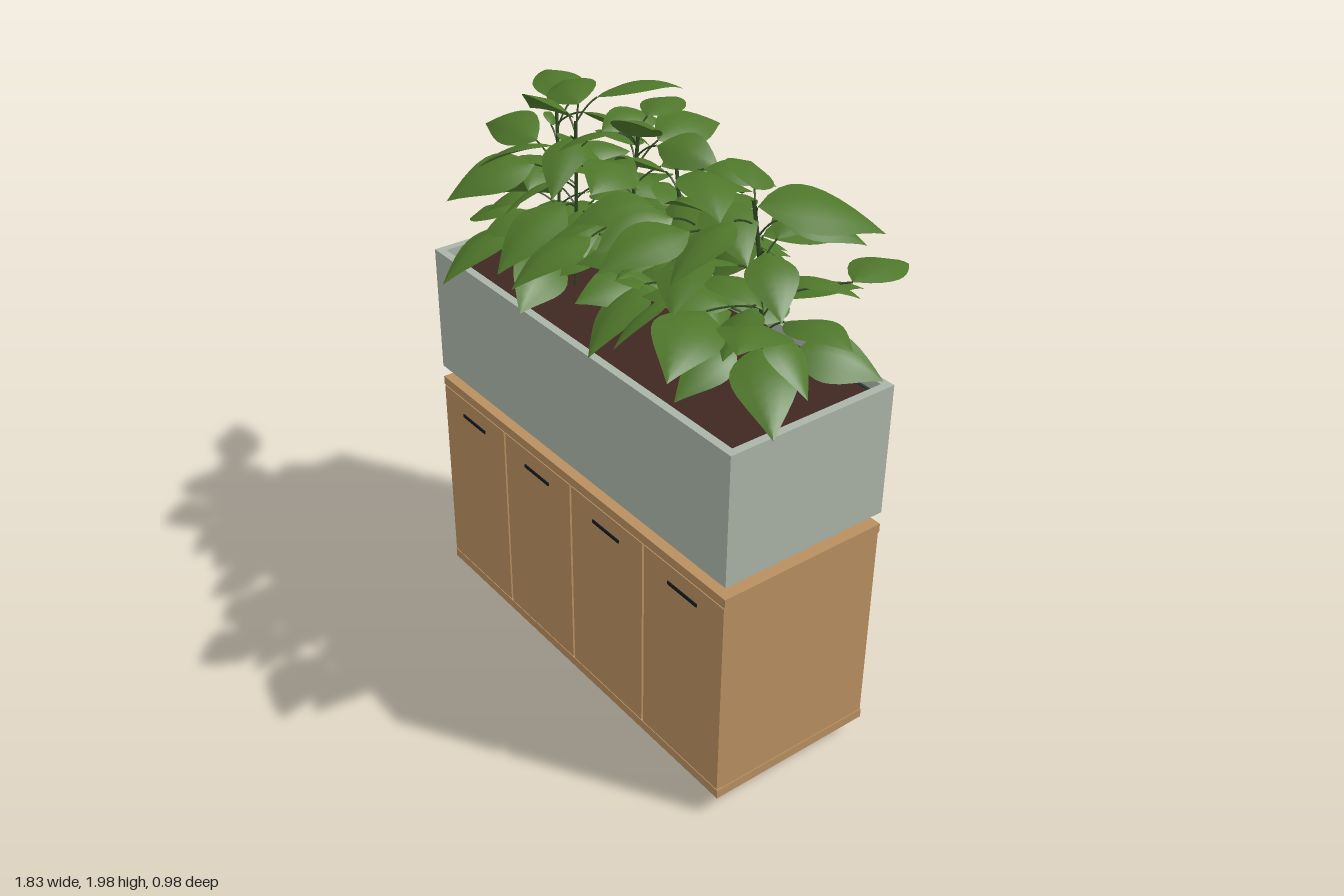
import * as THREE from 'three';
import { mergeGeometries } from 'three/addons/utils/BufferGeometryUtils.js';

const mat = (name, color, side = THREE.FrontSide) => {
  const m = new THREE.MeshStandardMaterial({ color, side });
  m.name = name;
  return m;
};
const V = (x, y, z) => new THREE.Vector3(x, y, z);

// small seeded generator
let seed = 11;
const rand = (a = 0, b = 1) => {
  seed = (seed * 16807) % 2147483647;
  return a + (b - a) * (seed / 2147483647);
};

// Domed, pointed leaf along an arched rib from base to tip
function leafGeometry(base, tip, ratio, roll) {
  const dir = tip.clone().sub(base), len = dir.length();
  const mid = base.clone().lerp(tip, 0.5);
  mid.y += len * 0.28;
  const rib = new THREE.QuadraticBezierCurve3(base, mid, tip);
  const across = V(dir.z, 0, -dir.x).normalize().applyAxisAngle(dir.clone().normalize(), roll);
  const N = 10, M = 4, pos = [], idx = [];
  for (let i = 0; i <= N; i++) {
    const t = i / N, p = rib.getPoint(t);
    const half = len * ratio * 0.5 * Math.sin(Math.PI * Math.pow(t, 0.8));
    const normal = rib.getTangent(t).cross(across).normalize();
    for (let j = 0; j <= M; j++) {
      const u = (j / M) * 2 - 1;
      const q = p.clone().addScaledVector(across, u * half).addScaledVector(normal, -Math.abs(u) * half * 0.25);
      pos.push(q.x, q.y, q.z);
      if (i < N && j < M) {
        const a = i * (M + 1) + j, b = a + M + 1;
        idx.push(a, b, a + 1, b, b + 1, a + 1);
      }
    }
  }
  const g = new THREE.BufferGeometry();
  g.setAttribute('position', new THREE.Float32BufferAttribute(pos, 3));
  g.setIndex(idx);
  g.computeVertexNormals();
  return g;
}

// Plants: stem foot x, z, stem top x, y, z and number of inner leaves
const PLANTS = [
  [-0.48, -0.06, -0.53, 1.80, -0.1, 6],
  [-0.27, 0.02, -0.25, 1.86, 0.02, 15],
  [-0.10, -0.06, -0.09, 1.88, -0.1, 15],
  [0.20, -0.04, 0.14, 1.82, -0.06, 15],
  [0.33, 0.06, 0.4, 1.86, 0.04, 15],
  [0.60, 0.0, 0.58, 1.91, 0.03, 16],
];

// Large outer leaves: base x, y, z and tip x, y, z
const OUTER = [
  [-0.65, 1.63, -0.1, -0.92, 1.61, -0.07], [-0.57, 1.77, -0.18, -0.84, 1.78, -0.26],
  [-0.59, 1.43, 0.06, -0.86, 1.31, 0.03], [-0.42, 1.52, -0.13, -0.34, 1.46, -0.44],
  [-0.13, 1.78, -0.2, -0.18, 1.75, -0.49], [0.1, 1.62, -0.2, 0.02, 1.56, -0.48],
  [0.74, 1.66, -0.2, 0.7, 1.62, -0.46], [0.65, 1.55, -0.04, 0.91, 1.57, -0.05],
  [0.7, 1.58, 0.06, 0.88, 1.68, 0.33], [0.6, 1.64, 0.2, 0.78, 1.6, 0.47],
  [0.55, 1.86, 0.22, 0.51, 1.8, 0.49], [-0.4, 1.5, 0.16, -0.38, 1.38, 0.44],
  [-0.36, 1.7, 0.1, -0.48, 1.6, 0.35], [-0.2, 1.62, 0.1, -0.17, 1.48, 0.37],
  [0.02, 1.62, 0.16, 0.0, 1.52, 0.43], [0.2, 1.52, 0.1, 0.28, 1.4, 0.36],
  [0.43, 1.96, 0.1, 0.67, 1.93, 0.22], [-0.08, 1.85, -0.05, 0.14, 1.96, 0.03],
  [-0.35, 1.86, -0.06, -0.6, 1.83, -0.16], [0.62, 1.91, 0.05, 0.78, 1.8, -0.27],
  [-0.08, 1.47, -0.22, -0.18, 1.26, -0.45], [0.62, 1.48, 0.03, 0.87, 1.36, 0.18],
  [0.5, 1.74, -0.08, 0.58, 1.68, -0.34], [-0.28, 1.9, -0.08, -0.22, 1.88, -0.37],
];

export function createModel() {
  const model = new THREE.Group();
  const wood = mat('oak wood', 0xb88f60);
  const stone = mat('grey green planter', 0xaab4a8);
  const dark = mat('dark metal', 0x30383a);
  const black = mat('black handle', 0x14181a);
  const soilMat = mat('brown soil', 0x3f2820);
  const leafMat = mat('leaf green', 0x4f772b, THREE.DoubleSide);
  const stemMat = mat('stem green', 0x2f4722);

  const X0 = -0.688, X1 = 0.826, Z0 = -0.313, Z1 = 0.288;
  const group = (name) => {
    const g = new THREE.Group();
    g.name = name;
    model.add(g);
    return g;
  };
  // box given by its limits
  const box = (parent, name, m, x0, x1, y0, y1, z0, z1) => {
    const mesh = new THREE.Mesh(new THREE.BoxGeometry(x1 - x0, y1 - y0, z1 - z0), m);
    mesh.position.set((x0 + x1) / 2, (y0 + y1) / 2, (z0 + z1) / 2);
    mesh.name = name;
    parent.add(mesh);
  };

  // Cabinet
  const cabinet = group('cabinet');
  box(cabinet, 'plinth', dark, -0.625, 0.762, 0, 0.072, -0.265, 0.24);
  box(cabinet, 'bottomPanel', wood, X0, X1, 0.072, 0.104, Z0, Z1);
  box(cabinet, 'topPanel', wood, X0, X1, 0.816, 0.847, Z0, Z1);
  box(cabinet, 'rightSide', wood, X0 + 0.003, X0 + 0.03, 0.104, 0.816, Z0 + 0.002, 0.268);
  box(cabinet, 'leftSide', wood, X1 - 0.03, X1 - 0.003, 0.104, 0.816, Z0 + 0.002, 0.268);
  box(cabinet, 'backPanel', wood, X0 + 0.03, X1 - 0.03, 0.104, 0.816, Z0 + 0.008, Z0 + 0.03);
  box(cabinet, 'innerFront', wood, X0 + 0.03, X1 - 0.03, 0.104, 0.816, 0.24, 0.264);

  // Four doors with slim handles
  const step = (X1 - X0) / 4;
  for (let i = 0; i < 4; i++) {
    const a = X0 + i * step, c = a + step / 2;
    box(cabinet, 'door', wood, a + (i ? 0.005 : 0.003), a + step - (i < 3 ? 0.005 : 0.003), 0.108, 0.812, 0.268, Z1);
    box(cabinet, 'handle', black, c - 0.068, c + 0.068, 0.743, 0.754, Z1 - 0.002, Z1 + 0.004);
  }

  // Planter: open frame, base, liner, soil and feet
  const planter = group('planter');
  const frame = (name, m, inset, wall, y0, y1) => {
    const rect = (P, d) => new P([[X0 + d, -Z1 + d], [X1 - d, -Z1 + d], [X1 - d, -Z0 - d], [X0 + d, -Z0 - d]]
      .map(([x, y]) => new THREE.Vector2(x, y)));
    const shape = rect(THREE.Shape, inset);
    shape.holes.push(rect(THREE.Path, inset + wall));
    const mesh = new THREE.Mesh(
      new THREE.ExtrudeGeometry(shape, { depth: y1 - y0, bevelEnabled: false }).rotateX(-Math.PI / 2), m);
    mesh.position.y = y0;
    mesh.name = name;
    planter.add(mesh);
  };
  frame('planterWalls', stone, 0, 0.027, 0.89, 1.333);
  frame('liner', dark, 0.027, 0.008, 1.2, 1.3);
  box(planter, 'planterBase', dark, X0 + 0.006, X1 - 0.006, 0.887, 0.89, Z0 + 0.006, Z1 - 0.006);
  box(planter, 'soil', soilMat, X0 + 0.03, X1 - 0.03, 1.2, 1.295, Z0 + 0.03, Z1 - 0.03);
  for (const x of [-0.545, 0.682]) for (const z of [-0.2, 0.175]) {
    const foot = new THREE.Mesh(new THREE.CylinderGeometry(0.023, 0.03, 0.042, 20), dark);
    foot.position.set(x, 0.867, z);
    foot.name = 'planterFoot';
    planter.add(foot);
  }

  // Plants
  const plants = group('plants');
  const parts = PLANTS.map(([fx, fz, tx, ty, tz, count]) => {
    const path = new THREE.QuadraticBezierCurve3(
      V(fx, 1.28, fz), V(fx + 0.02, (1.28 + ty) / 2, fz), V(tx, ty, tz));
    return { path, count, leaves: [], stems: [new THREE.TubeGeometry(path, 12, 0.006, 6)] };
  });
  const addLeaf = (plant, base, tip, ratio, tilt) => {
    const top = plant.path.v2.y;
    const t = THREE.MathUtils.clamp((base.y - 0.05 - 1.28) / (top - 1.28), 0.05, 1);
    const from = plant.path.getPoint(t);
    const bend = from.clone().lerp(base, 0.5);
    bend.y += 0.02;
    plant.stems.push(new THREE.TubeGeometry(new THREE.QuadraticBezierCurve3(from, bend, base), 5, 0.003, 5));
    plant.leaves.push(leafGeometry(base, tip, ratio, rand(-tilt, tilt)));
  };

  for (const [bx, by, bz, tx, ty, tz] of OUTER) {
    const near = parts.reduce((a, b) => Math.abs(b.path.v2.x - bx) < Math.abs(a.path.v2.x - bx) ? b : a);
    addLeaf(near, V(bx, by, bz), V(tx, ty, tz), 0.6, 0.45);
  }

  // Inner leaves spiral up each stem
  parts.forEach((plant, k) => {
    for (let i = 0; i < plant.count; i++) {
      const t = 0.2 + 0.78 * (i + 0.5) / plant.count;
      const p = plant.path.getPoint(t), a = i * 2.4 + k * 1.1;
      const d = V(Math.cos(a), 0, Math.sin(a));
      const base = p.clone().addScaledVector(d, rand(0.04, 0.1));
      base.y += 0.03;
      const tip = base.clone().addScaledVector(d, rand(0.2, 0.28));
      tip.x = THREE.MathUtils.clamp(tip.x, -0.62, 0.85);
      tip.z = THREE.MathUtils.clamp(tip.z, -0.34, 0.36);
      tip.y = Math.max(tip.y + rand(-0.12, 0.02), 1.36);
      addLeaf(plant, base, tip, rand(0.55, 0.66), 0.6);
    }
  });

  parts.forEach(({ stems, leaves }) => {
    const g = new THREE.Group();
    g.name = 'plant';
    const stemMesh = new THREE.Mesh(mergeGeometries(stems), stemMat);
    stemMesh.name = 'stems';
    const leafMesh = new THREE.Mesh(mergeGeometries(leaves), leafMat);
    leafMesh.name = 'leaves';
    g.add(stemMesh, leafMesh);
    plants.add(g);
  });

  return model;
}
